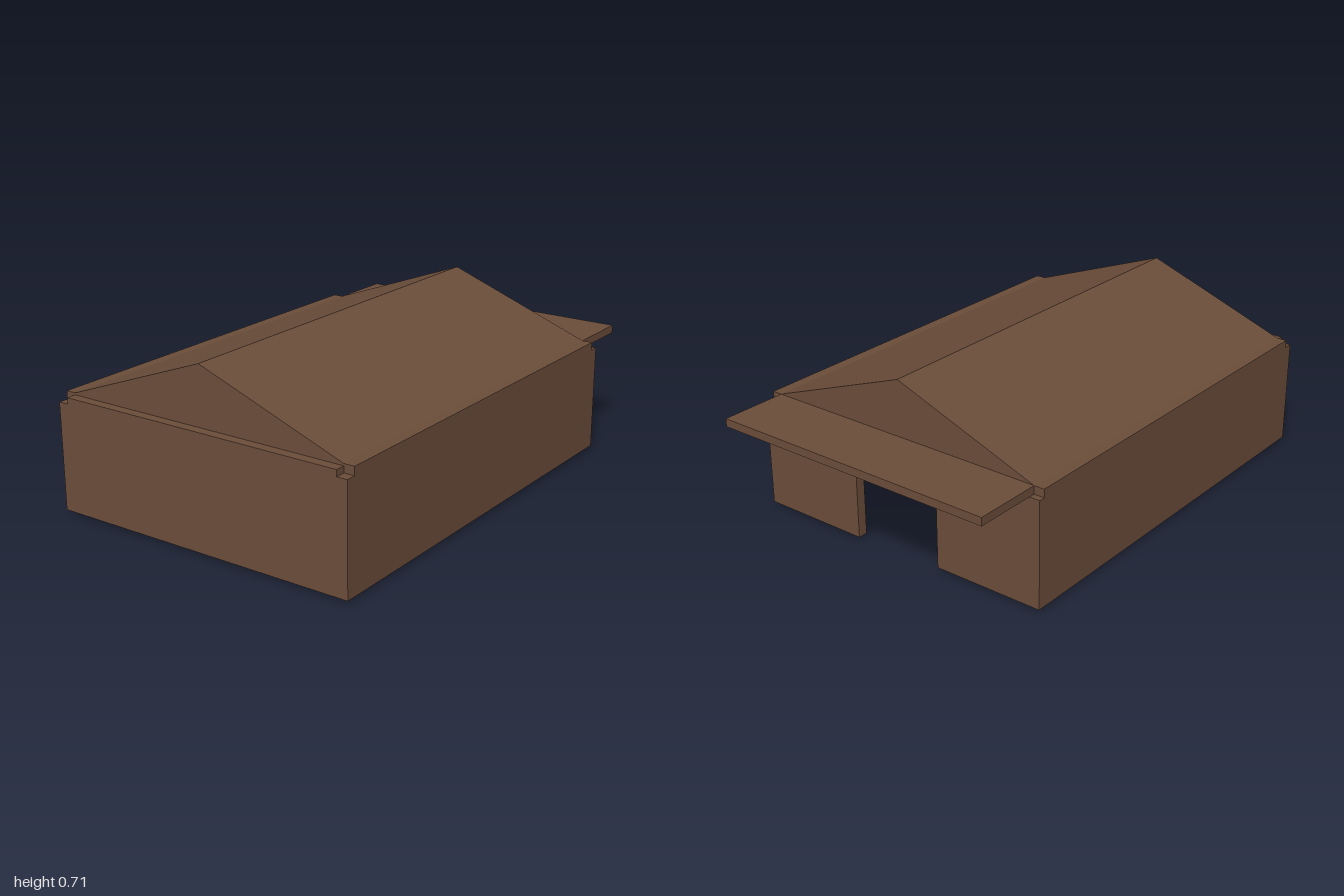
import * as THREE from 'three';

export function createModel() {
  const model = new THREE.Group();
  model.name = 'openShed';
  const brown = new THREE.MeshStandardMaterial({ color: 0x6b4d3a });
  brown.name = 'brown timber';

  const add = (name, geometry) => {
    const mesh = new THREE.Mesh(geometry, brown);
    mesh.name = name;
    model.add(mesh);
    return mesh;
  };
  // box given by its two extreme corners
  const box = (name, x0, x1, y0, y1, z0, z1) =>
    add(name, new THREE.BoxGeometry(x1 - x0, y1 - y0, z1 - z0))
      .position.set((x0 + x1) / 2, (y0 + y1) / 2, (z0 + z1) / 2);

  const base = 0.015, eave = 0.447, top = 0.48;
  const outer = 0.655, inner = 0.612;

  // long walls and the closed end wall
  box('frontWall', -1, 0.76, base, eave, inner, outer);
  box('backWall', -1, 0.745, base, eave, -outer, -inner);
  box('endWall', -1, -0.96, base, eave, -inner, inner);

  // short walls on both sides of the doorway
  box('frontDoorWall', 0.72, 0.76, base, eave, 0.19, inner);
  box('backDoorWall', 0.705, 0.745, base, eave, -inner, -0.19);

  // beams along the wall tops, leaving the corners notched
  box('frontBeam', -0.96, 0.72, eave, top, inner, outer);
  box('backBeam', -0.96, 0.72, eave, top, -outer, -inner);
  box('endBeam', -1, -0.96, eave, 0.472, -inner, inner);

  // ceiling slab that runs on as a canopy over the doorway
  box('ceilingAndCanopy', -0.96, 1, eave, top, -inner, inner);

  // gabled roof: triangle in the z-y plane swept along x
  const gable = new THREE.Shape([
    new THREE.Vector2(-inner, top),
    new THREE.Vector2(inner, top),
    new THREE.Vector2(0, 0.706),
  ]);
  const roof = new THREE.ExtrudeGeometry(gable, { depth: 1.68, bevelEnabled: false });
  roof.rotateY(Math.PI / 2);
  add('gableRoof', roof).position.x = -0.96;

  // slender inner posts
  for (const x of [-0.29, 0.385]) {
    for (const z of [-0.327, 0.317]) {
      add('post', new THREE.CylinderGeometry(0.01, 0.01, eave, 12)).position.set(x, eave / 2, z);
    }
  }
  return model;
}
